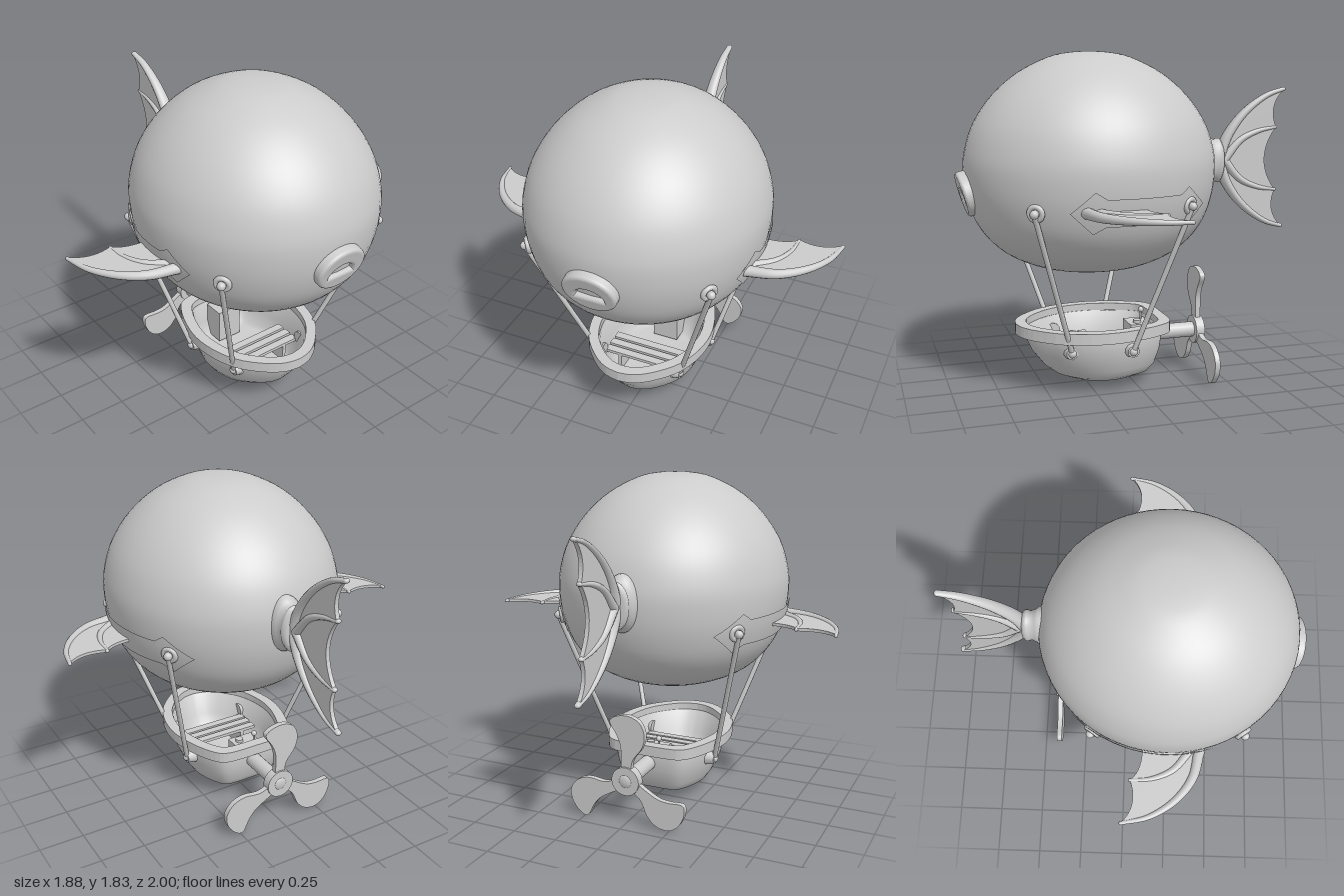
import * as THREE from 'three';

const V2 = (p) => new THREE.Vector2(p[0], p[1]);
const V3 = (x, y, z) => new THREE.Vector3(x, y, z);
const grey = new THREE.MeshStandardMaterial({ color: 0xcccccc });
const greyThin = new THREE.MeshStandardMaterial({ color: 0xcccccc, side: THREE.DoubleSide });

function add(parent, name, geometry, x = 0, y = 0, z = 0, material = grey) {
  const mesh = new THREE.Mesh(geometry, material);
  mesh.name = name;
  mesh.position.set(x, y, z);
  parent.add(mesh);
  return mesh;
}

// Balloon profile: unit radius against height
const BX = 0.22, RX = 0.682, RZ = 0.64;
const profile = new THREE.SplineCurve([
  [0, 0.672], [0.25, 0.675], [0.45, 0.692], [0.7, 0.772], [0.88, 0.9], [0.97, 1.05], [1, 1.2], [0.983, 1.32],
  [0.91, 1.46], [0.765, 1.6], [0.56, 1.72], [0.32, 1.8], [0.15, 1.825], [0, 1.83],
].map(V2)).getPoints(52);
profile[0].x = profile[52].x = 0;

// Balloon surface depth at a given x and y
function surfaceZ(x, y) {
  const i = profile.findIndex((p) => p.y >= y);
  const a = profile[i - 1], b = profile[i];
  const r = a.x + (b.x - a.x) * (y - a.y) / (b.y - a.y);
  return RZ * Math.sqrt(Math.max(0, r * r - ((x - BX) / RX) ** 2));
}

// Tube whose radius runs from r0 to r1, with a rounded end at both sides
function taperedRay(parent, name, pts, r0, r1) {
  const curve = new THREE.CatmullRomCurve3(pts.map((p) => V3(p[0], p[1], 0)));
  const n = 24, m = 12, geo = new THREE.TubeGeometry(curve, n, 1, m);
  const pos = geo.attributes.position, v = V3(0, 0, 0);
  for (let i = 0; i <= n; i++) {
    const c = curve.getPointAt(i / n), r = r0 + (r1 - r0) * i / n;
    for (let j = 0; j <= m; j++) {
      const k = i * (m + 1) + j;
      v.fromBufferAttribute(pos, k).sub(c).multiplyScalar(r).add(c);
      pos.setXYZ(k, v.x, v.y, v.z);
    }
  }
  add(parent, name, geo);
  [[pts[0], r0], [pts[pts.length - 1], r1]].forEach(([p, r]) =>
    add(parent, name + 'End', new THREE.SphereGeometry(r, 12, 8), p[0], p[1], 0));
}

// Thin webbing: a list of [x, y] corners or [cx, cy, x, y] curves
function membrane(parent, steps) {
  const s = new THREE.Shape();
  steps.forEach((p, i) => {
    if (i === 0) s.moveTo(...p);
    else if (p.length === 4) s.quadraticCurveTo(...p);
    else s.lineTo(...p);
  });
  add(parent, 'finMembrane', new THREE.ExtrudeGeometry(s, { depth: 0.016, bevelEnabled: false, curveSegments: 12 }), 0, 0, -0.008);
}

function sideFin(side) {
  const fin = new THREE.Group();
  fin.name = side > 0 ? 'leftFin' : 'rightFin';
  const lead = [[0, 0.99], [0.14, 0.955], [0.27, 0.87], [0.36, 0.75], [0.395, 0.6]];
  taperedRay(fin, 'leadingRay', lead, 0.01, 0.03);
  taperedRay(fin, 'innerRay', [[0.04, 0.77], [0.15, 0.76], [0.26, 0.71], [0.35, 0.6]], 0.01, 0.024);
  membrane(fin, [[0, 0.99], [0.09, 0.9, 0.04, 0.77], [0.11, 0.72, 0.1, 0.55], [0.38, 0.55], ...lead.slice(1, 4).reverse()]);
  fin.rotation.x = side * Math.PI / 2;
  fin.position.y = 1.057;
  return fin;
}

function tail() {
  const g = new THREE.Group();
  g.name = 'tail';
  const lead = [[-0.925, 0.395], [-0.82, 0.36], [-0.68, 0.26], [-0.58, 0.13], [-0.53, 0]];
  const inner = [[-0.88, 0.18], [-0.77, 0.16], [-0.66, 0.11], [-0.56, 0]];
  const flip = (pts) => pts.map((p) => [p[0], -p[1]]);
  for (const f of [(p) => p, flip]) {
    taperedRay(g, 'outerRay', f(lead), 0.012, 0.032);
    taperedRay(g, 'innerRay', f(inner), 0.011, 0.028);
  }
  membrane(g, [[-0.925, 0.395], [-0.825, 0.3, -0.88, 0.18], [-0.74, 0, -0.88, -0.18], [-0.825, -0.3, -0.925, -0.395],
    ...flip(lead).slice(1), ...lead.slice(1, 4).reverse()]);
  g.scale.z = 1.4;
  g.position.y = 1.225;
  return g;
}

// Boat plan outline: x from 0 (stern) to 1 (bow), half width up to 1
const half = new THREE.SplineCurve([
  [1, 0], [0.98, 0.24], [0.91, 0.5], [0.77, 0.8], [0.6, 0.96], [0.42, 1], [0.24, 0.91], [0.08, 0.74], [0.015, 0.57], [0, 0.3], [0, 0],
].map(V2)).getPoints(32);
const outline = [...half, ...half.slice(1, -1).reverse().map((p) => V2([p.x, -p.y]))];
const ring = (x0, x1, w) => outline.map((p) => V2([x0 + (x1 - x0) * p.x, w * p.y]));

function hullGeometry() {
  // Each level: stern x, bow x, half width, height; up the outside, then down the inside
  const levels = [
    [0.17, 0.17, 0, 0.055], [0.02, 0.32, 0.14, 0.055], [-0.03, 0.375, 0.185, 0.058], [-0.08, 0.43, 0.22, 0.08], [-0.115, 0.49, 0.25, 0.125],
    [-0.138, 0.555, 0.285, 0.21], [-0.152, 0.61, 0.31, 0.33], [-0.12, 0.575, 0.275, 0.33], [-0.11, 0.53, 0.255, 0.21],
    [-0.08, 0.47, 0.225, 0.13], [-0.05, 0.43, 0.2, 0.115], [0.17, 0.17, 0, 0.115]];
  const n = outline.length, pos = [], idx = [];
  levels.forEach(([x0, x1, w, y], i) => ring(x0, x1, w).forEach((p, j) => {
    pos.push(p.x, y, p.y);
    if (i === 0) return;
    const a = (i - 1) * n + j, b = (i - 1) * n + (j + 1) % n;
    idx.push(a, a + n, b, b, a + n, b + n);
  }));
  const geo = new THREE.BufferGeometry();
  geo.setAttribute('position', new THREE.Float32BufferAttribute(pos, 3));
  geo.setIndex(idx);
  geo.computeVertexNormals();
  return geo;
}

function boat() {
  const g = new THREE.Group();
  g.name = 'boat';
  add(g, 'hull', hullGeometry(), 0, 0, 0, greyThin);
  const rim = new THREE.Shape(ring(-0.19, 0.645, 0.343));
  rim.holes.push(new THREE.Path(ring(-0.13, 0.585, 0.285)));
  add(g, 'gunwale', new THREE.ExtrudeGeometry(rim, { depth: 0.06, bevelEnabled: false }), 0, 0.37, 0).rotation.x = Math.PI / 2;
  // Engine box with its controls
  add(g, 'engineBox', new THREE.BoxGeometry(0.12, 0.2, 0.15), -0.05, 0.225, 0);
  add(g, 'controlLever', new THREE.CylinderGeometry(0.006, 0.006, 0.06, 8), -0.085, 0.35, 0.04);
  add(g, 'leverKnob', new THREE.SphereGeometry(0.016, 12, 8), -0.085, 0.38, 0.04);
  add(g, 'gauge', new THREE.CylinderGeometry(0.022, 0.022, 0.02, 14), -0.04, 0.332, -0.03);
  // Slatted bench across the bow
  for (let i = 0; i < 3; i++) add(g, 'benchSlat', new THREE.BoxGeometry(0.045, 0.018, 0.44), 0.22 + i * 0.06, 0.225, 0);
  for (const s of [-1, 1]) add(g, 'benchSupport', new THREE.BoxGeometry(0.16, 0.11, 0.02), 0.28, 0.165, s * 0.13);
  return g;
}

function propeller() {
  const g = new THREE.Group();
  g.name = 'propeller';
  add(g, 'shaft', new THREE.CylinderGeometry(0.043, 0.043, 0.28, 20), 0, 0, 0.15).rotation.x = Math.PI / 2;
  add(g, 'hub', new THREE.CylinderGeometry(0.08, 0.08, 0.05, 24)).rotation.x = Math.PI / 2;
  add(g, 'hubCap', new THREE.SphereGeometry(0.04, 16, 10), 0, 0, -0.018).scale.z = 0.4;
  const blade = new THREE.Shape();
  blade.moveTo(-0.03, 0.04);
  blade.splineThru([[-0.04, 0.12], [-0.095, 0.2], [-0.11, 0.27], [-0.085, 0.335], [-0.03, 0.365], [0.03, 0.365], [0.08, 0.345],
    [0.09, 0.315], [0.05, 0.25], [0.028, 0.18], [0.03, 0.04]].map(V2));
  const geo = new THREE.ExtrudeGeometry(blade, { depth: 0.03, bevelEnabled: false, curveSegments: 30 });
  for (let i = 0; i < 3; i++) add(g, 'blade', geo, 0, 0, -0.015).rotation.z = i * Math.PI * 2 / 3;
  // The turned mesh spins about the shaft, which runs along x
  g.rotation.y = Math.PI / 2;
  g.position.set(-0.408, 0.25, 0);
  return g;
}

// Rope from a ring on the balloon to a fitting on the hull
function rope(parent, top, bottom) {
  const out = V3((top.x - BX) / RX ** 2, -0.2, top.z / RZ ** 2).normalize();
  const eye = add(parent, 'ropeRing', new THREE.TorusGeometry(0.034, 0.014, 10, 20), ...top.toArray());
  eye.lookAt(top.clone().add(out));
  add(parent, 'ringStud', new THREE.SphereGeometry(0.022, 12, 8), ...top.toArray());
  const low = V3(0, 0, Math.sign(bottom.z));
  const fitting = add(parent, 'hullFitting', new THREE.CylinderGeometry(0.032, 0.042, 0.05, 10), ...bottom.toArray());
  fitting.quaternion.setFromUnitVectors(V3(0, 1, 0), low);
  const a = top.clone().addScaledVector(out, 0.018), b = bottom.clone().addScaledVector(low, 0.02);
  const path = new THREE.LineCurve3(a, b);
  add(parent, 'rope', new THREE.TubeGeometry(path, 1, 0.014, 10));
  for (const p of [a, b]) add(parent, 'ropeKnot', new THREE.SphereGeometry(0.023, 12, 8), ...p.toArray());
}

// Pointed patch that hugs the balloon behind each side fin
function patchGeometry(side) {
  const nodes = [[-0.27, 0], [-0.15, 0.107], [-0.1, 0.07], [0.3, 0.07], [0.36, 0.107], [0.475, 0]];
  const geo = new THREE.PlaneGeometry(5, 2, 40, 6), pos = geo.attributes.position;
  for (let k = 0; k < pos.count; k++) {
    const u = pos.getX(k) + 2.5, i = Math.min(4, Math.floor(u)), a = nodes[i], b = nodes[i + 1];
    const x = a[0] + (b[0] - a[0]) * (u - i);
    const y = 1.053 + (a[1] + (b[1] - a[1]) * (u - i)) * pos.getY(k);
    pos.setXYZ(k, x, y, side * (surfaceZ(x, y) + 0.01));
  }
  geo.computeVertexNormals();
  return geo;
}

export function createModel() {
  const model = new THREE.Group();
  model.name = 'fishAirship';

  add(model, 'balloon', new THREE.LatheGeometry(profile, 64), BX, 0, 0).scale.set(RX, 1, RZ);

  // Mouth: rounded lip ring with a flat-bottomed opening
  const lip = new THREE.Shape().absellipse(0, 0, 0.127, 0.103, 0, Math.PI * 2);
  const gap = new THREE.Path();
  gap.moveTo(-0.095, -0.05);
  gap.lineTo(0.095, -0.05);
  gap.bezierCurveTo(0.11, 0.08, -0.11, 0.08, -0.095, -0.05);
  lip.holes.push(gap);
  const mouth = add(model, 'mouth', new THREE.ExtrudeGeometry(lip,
    { depth: 0.03, bevelThickness: 0.016, bevelSize: 0.018, bevelSegments: 4, curveSegments: 32 }), 0.872, 1.098, 0);
  mouth.rotation.set(0, Math.PI / 2, -0.28, 'ZYX');

  // Tail with its flared collar
  model.add(tail());
  const collar = new THREE.LatheGeometry([[0, 0.09], [0.1, 0.09], [0.125, 0.075], [0.125, 0.06], [0.115, 0.045], [0.13, 0.02],
    [0.152, 0], [0.152, -0.04]].reverse().map(V2), 32);
  const collarMesh = add(model, 'tailCollar', collar, -0.455, 1.225, 0, greyThin);
  collarMesh.rotation.z = Math.PI / 2;
  collarMesh.scale.z = 0.6;

  for (const s of [1, -1]) {
    model.add(sideFin(s));
    add(model, 'finPatch', patchGeometry(s), 0, 0, 0, greyThin);
    rope(model, V3(-0.165, 1.058, s * (surfaceZ(-0.165, 1.058) + 0.01)), V3(0.07, 0.25, s * 0.295));
    rope(model, V3(0.625, 1.05, s * (surfaceZ(0.625, 1.05) + 0.01)), V3(0.39, 0.25, s * 0.235));
  }

  model.add(boat(), propeller());
  return model;
}
